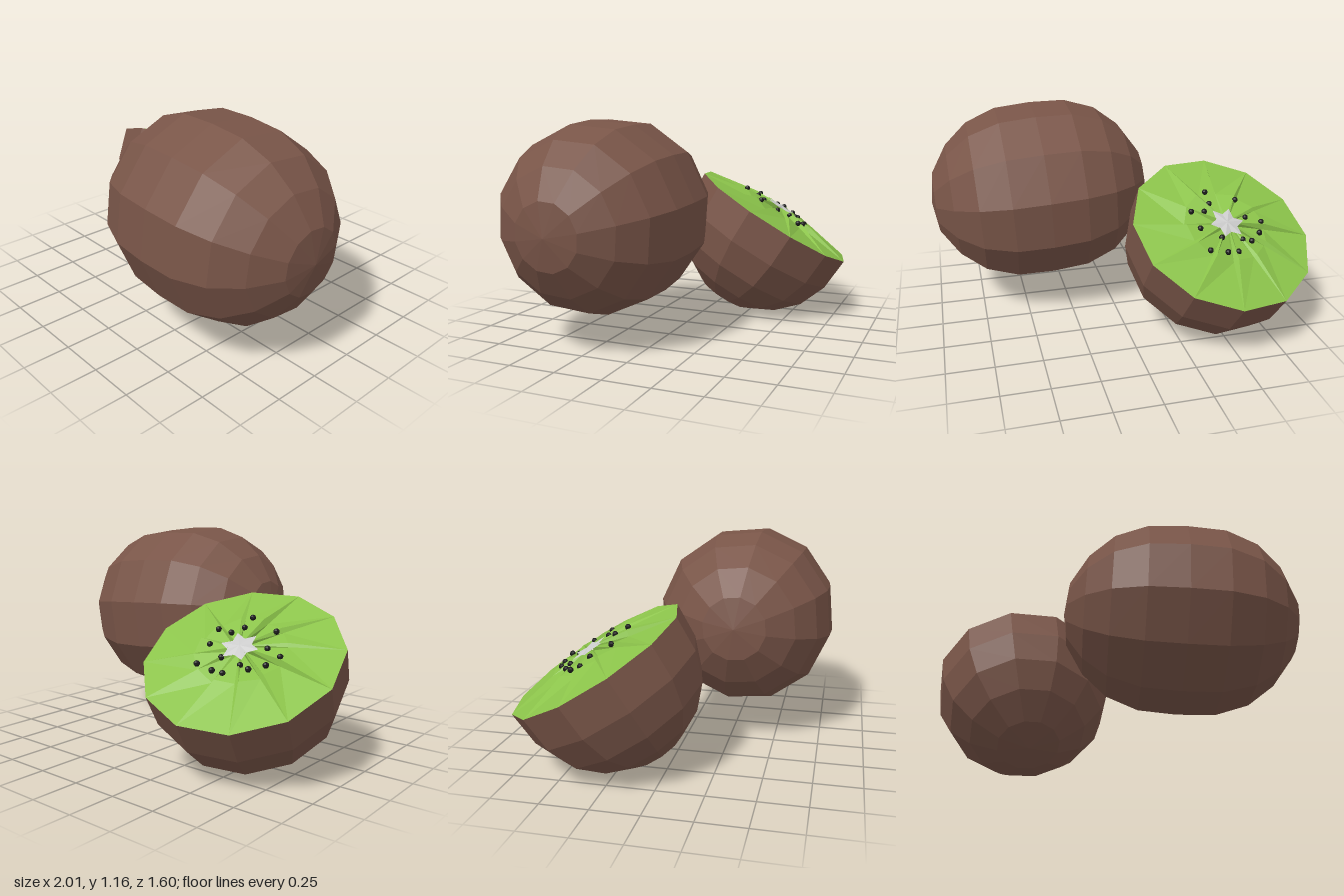
import * as THREE from 'three';

const SIDES = 12;

// Radius and distance from the middle, from the widest ring to the tip
const PROFILE = [[0.505, 0], [0.495, 0.2], [0.433, 0.37], [0.322, 0.5], [0.172, 0.595], [0, 0.62]];
const RIM = PROFILE[0][0];

const flat = (color, side = THREE.FrontSide) =>
  new THREE.MeshStandardMaterial({ color, flatShading: true, side });

function part(name, geometry, material, parent) {
  const mesh = new THREE.Mesh(geometry, material);
  mesh.name = name;
  parent.add(mesh);
  return mesh;
}

const lathe = (points) =>
  new THREE.LatheGeometry(points.map(([r, t]) => new THREE.Vector2(r, t)), SIDES);

// Point on the cut face from angle, radius and height
const polar = (a, r, h) => [-Math.cos(a) * r, h, Math.sin(a) * r];

function fromTriangles(points) {
  const g = new THREE.BufferGeometry();
  g.setAttribute('position', new THREE.Float32BufferAttribute(points.flat(), 3));
  g.computeVertexNormals();
  return g;
}

// Slightly raised flesh: wedges that start high and end low, with a steep step between them
function fleshGeometry() {
  const pts = [];
  const step = (Math.PI * 2) / SIDES;
  const dropOf = (k) => 0.012 + 0.008 * (k % 3);
  const quad = (a, b, c, d) => pts.push(a, b, c, a, c, d);
  for (let k = 0; k < SIDES; k++) {
    const a = k * step, b = a + step;
    const drop = dropOf(k), before = dropOf(k + SIDES - 1);
    const rimA = polar(a, RIM, 0), rimB = polar(b, RIM, 0);
    const midA = polar(a + 0.08, 0.23, 0.052), midB = polar(b, 0.23, 0.052 - drop);
    const inA = polar(a + 0.08, 0.03, 0.066), inB = polar(b, 0.03, 0.066 - drop);
    quad(rimA, rimB, midB, midA);
    quad(midA, midB, inB, inA);
    // step down to the low edge of the neighbouring wedge
    const lowMid = polar(a, 0.23, 0.052 - before), lowIn = polar(a, 0.03, 0.066 - before);
    pts.push(rimA, midA, lowMid);
    quad(lowMid, midA, inA, lowIn);
  }
  return fromTriangles(pts);
}

// Star-shaped pale core
function coreGeometry() {
  const pts = [], n = 12;
  const tip = (i) => polar((i / n) * Math.PI * 2 + 0.2, i % 2 ? 0.06 : 0.1, i % 2 ? 0.062 : 0.066);
  for (let i = 0; i < n; i++) pts.push([0, 0.072, 0], tip(i), tip((i + 1) % n));
  return fromTriangles(pts);
}

export function createModel() {
  const model = new THREE.Group();
  model.name = 'kiwiFruit';
  const skin = flat(0x795548);

  // Whole fruit lying on its side
  const upper = PROFILE.slice(1);
  const lower = PROFILE.map(([r, t]) => [r, -t]).reverse();
  const whole = lathe([...lower, ...upper]);
  whole.rotateY(0.17);
  whole.rotateZ(-Math.PI / 2 - 0.06);
  part('wholeFruit', whole, skin, model).position.set(0.38, 0.667, 0.293);

  // Half fruit, its cut face tilted up and back
  const centre = new THREE.Vector3(-0.51, 0.585, -0.37);
  const slope = { x: 0.16, z: 0.59 };
  const normal = new THREE.Vector3(-slope.x, 1, -slope.z).normalize();
  const half = new THREE.Group();
  half.name = 'halfFruit';
  half.position.copy(centre);
  half.quaternion.setFromUnitVectors(new THREE.Vector3(0, 1, 0), normal);
  half.rotateY(-0.05);
  model.add(half);

  part('halfSkin', lathe(lower.map(([r, t]) => [r, t * 0.97])), skin, half);
  part('flesh', fleshGeometry(), flat(0x8bc34a, THREE.DoubleSide), half);
  part('core', coreGeometry(), flat(0xcccccc, THREE.DoubleSide), half);

  // Seeds around the core, as x and z pairs
  const seedSpots = [
    [-0.53, -0.55], [-0.47, -0.555], [-0.375, -0.55], [-0.465, -0.475], [-0.36, -0.43],
    [-0.34, -0.335], [-0.415, -0.33], [-0.46, -0.28], [-0.46, -0.21], [-0.625, -0.245],
    [-0.645, -0.35], [-0.73, -0.37], [-0.695, -0.435], [-0.63, -0.485], [-0.58, -0.48],
  ];
  const seedGeometry = new THREE.SphereGeometry(0.016, 7, 5);
  const seedMaterial = flat(0x1a1a1a);
  const seeds = new THREE.Group();
  seeds.name = 'seeds';
  model.add(seeds);
  for (const [x, z] of seedSpots) {
    const y = centre.y + slope.x * (x - centre.x) + slope.z * (z - centre.z) + 0.052 / normal.y;
    part('seed', seedGeometry, seedMaterial, seeds).position.set(x, y, z);
  }
  return model;
}
